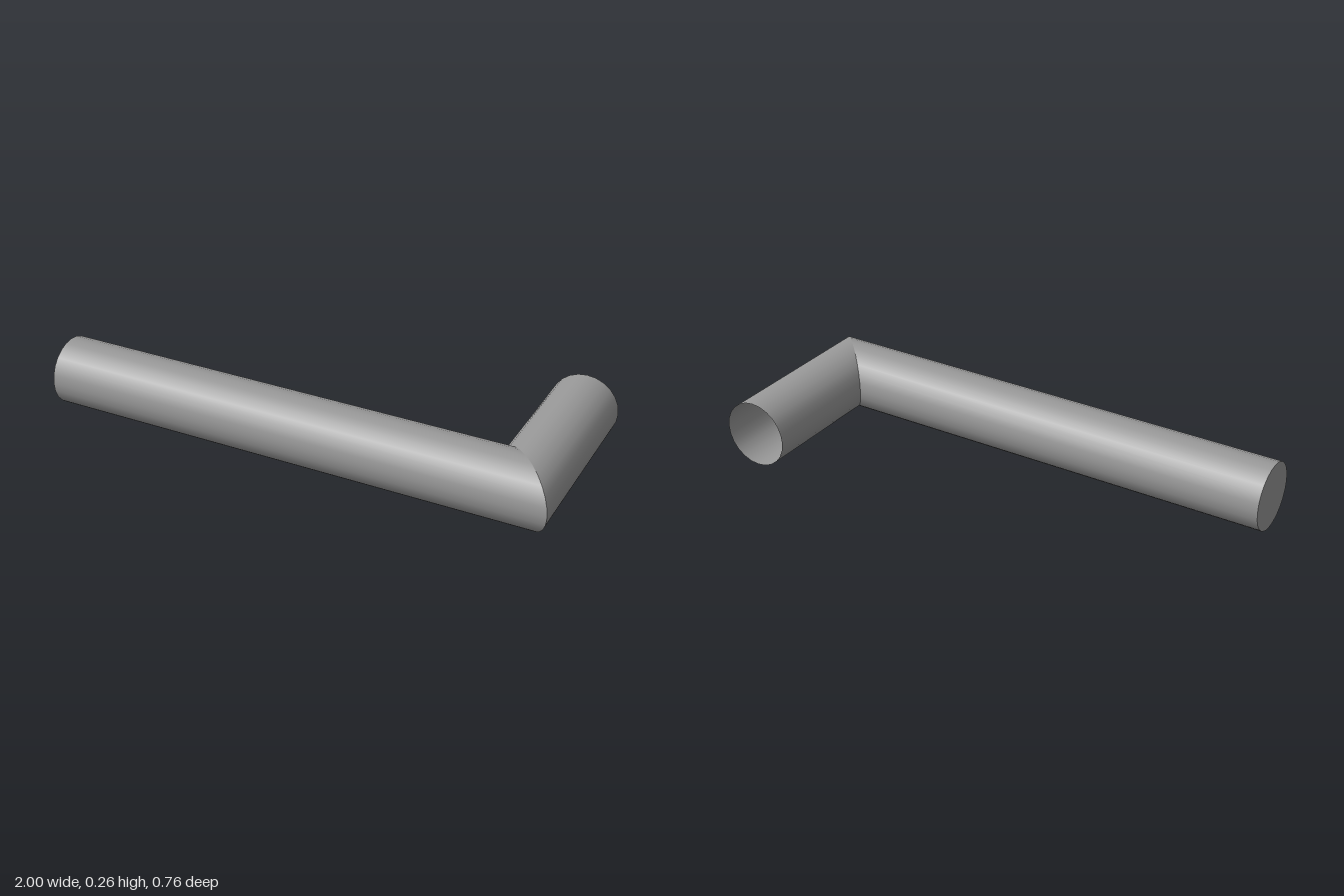
import * as THREE from 'three';

const R = 0.132, SIDES = 24;
const CX = 1 - R, CZ = 0.382 - R; // where the two pipe axes meet

export function createModel() {
  const group = new THREE.Group();
  const material = new THREE.MeshStandardMaterial({ color: 0x999999, side: THREE.DoubleSide });
  const add = (name, geometry) => {
    const mesh = new THREE.Mesh(geometry, material);
    mesh.name = name;
    group.add(mesh);
    return mesh;
  };
  const pipe = () => new THREE.CylinderGeometry(R, R, 2, SIDES, 1, true);

  // Long pipe along x, its right-hand ring sheared onto the 45 degree mitre
  const long = pipe().rotateZ(Math.PI / 2).translate(0, R, CZ);
  let p = long.attributes.position;
  for (let i = 0; i < p.count; i++) {
    p.setX(i, p.getX(i) > 0 ? CX + p.getZ(i) - CZ : -1);
  }
  add('longPipe', long);

  // Short pipe running back along z, open at the rear, mitred at the front
  const short = pipe().rotateX(-Math.PI / 2).translate(CX, R, 0);
  p = short.attributes.position;
  for (let i = 0; i < p.count; i++) {
    p.setZ(i, p.getZ(i) > 0 ? CZ + p.getX(i) - CX : -0.382);
  }
  add('shortPipe', short);

  // Flat cap closing the far end of the long pipe
  const cap = new THREE.CircleGeometry(R, SIDES).rotateY(-Math.PI / 2);
  add('endCap', cap).position.set(-1, R, CZ);

  return group;
}
